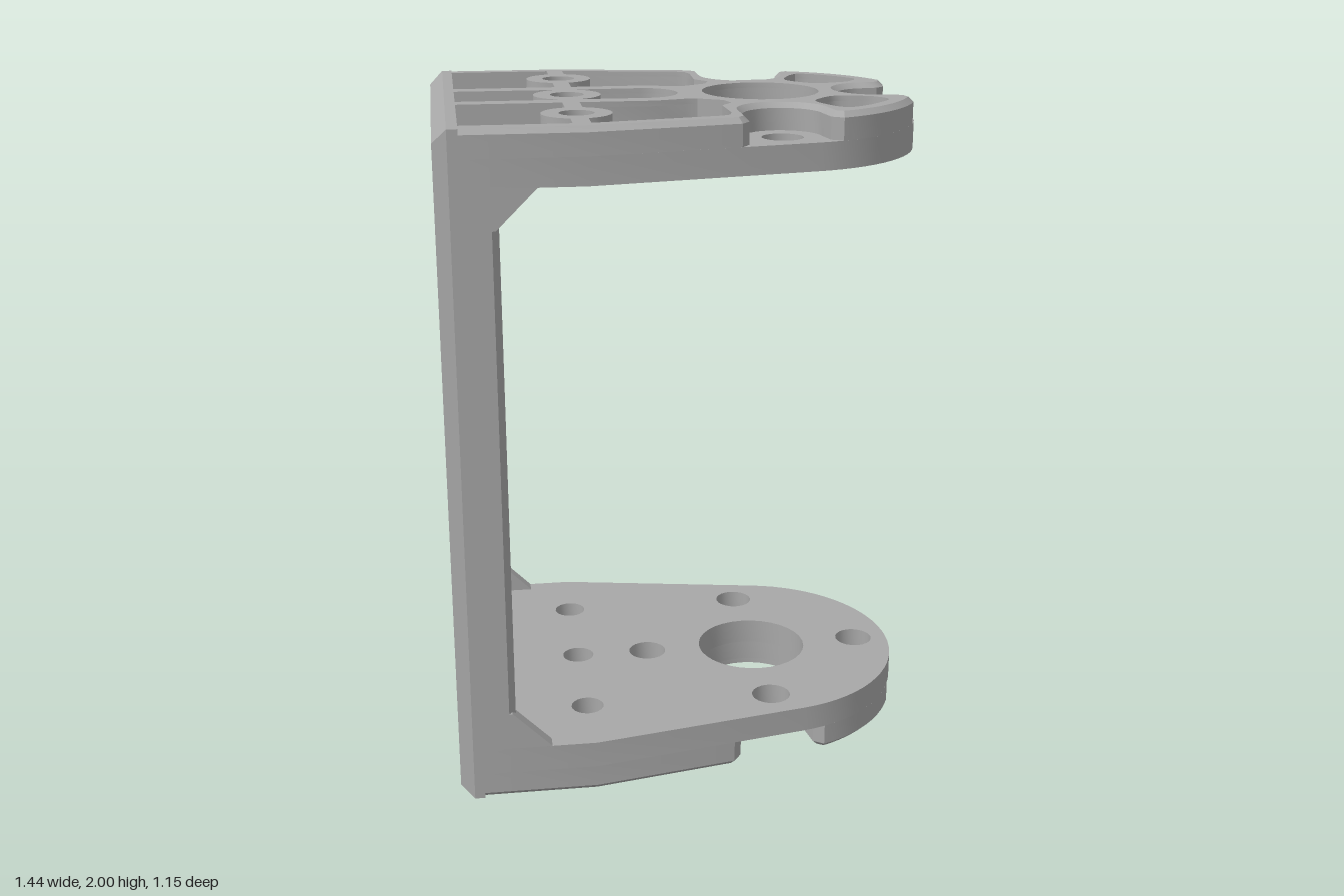
import * as THREE from 'three';
import { toCreasedNormals } from 'three/addons/utils/BufferGeometryUtils.js';

const grey = new THREE.MeshStandardMaterial({ color: 0xa8a8a8 });
grey.name = 'metal grey';

// ---- 2D helpers (points are [a, b] pairs) ----
const arc = (cx, cy, r, from, to, n = 12) =>
  Array.from({ length: n + 1 }, (_, i) => {
    const t = THREE.MathUtils.degToRad(from + ((to - from) * i) / n);
    return [cx + r * Math.cos(t), cy + r * Math.sin(t)];
  });
const circle = (cx, cy, r, n = 20) => arc(cx, cy, r, 0, 360, n).slice(0, -1);
const hexagon = (cx, cy, r, turn = 0) => arc(cx, cy, r, turn, turn + 360, 6).slice(0, -1);
const flipB = (pts) => pts.map(([a, b]) => [a, -b]);
const flipA = (pts) => pts.map(([a, b]) => [-a, b]);
const mirrorHalf = (half) => [...half, ...flipB(half).reverse()];
const vectors = (pts) => pts.map(([a, b]) => new THREE.Vector2(a, b));
const smooth = (pts) =>
  new THREE.CatmullRomCurve3(pts.map(([a, b]) => new THREE.Vector3(a, b, 0)), true)
    .getPoints(30).slice(0, -1).map((p) => [p.x, p.y]);

// Extrudes an outline with holes; inset narrows the far end to form a chamfer
function prism(outline, holes, depth, inset) {
  const shape = new THREE.Shape(vectors(outline));
  shape.holes = holes.map((h) => new THREE.Path(vectors(h)));
  const geo = new THREE.ExtrudeGeometry(shape, { depth, bevelEnabled: false });
  if (inset) {
    const key = (x, y) => `${Math.round(x * 1e4)},${Math.round(y * 1e4)}`;
    const moved = new Map();
    const v = vectors(outline);
    const sign = Math.sign(THREE.ShapeUtils.area(v));
    v.forEach((p, i) => {
      const e1 = p.clone().sub(v[(i + v.length - 1) % v.length]).normalize();
      const e2 = v[(i + 1) % v.length].clone().sub(p).normalize();
      const n = new THREE.Vector2(-e1.y - e2.y, e1.x + e2.x);
      n.multiplyScalar((sign * 2) / Math.max(n.lengthSq(), 1));
      moved.set(key(p.x, p.y), [p.x + n.x * inset[0], p.y + n.y * inset[1]]);
    });
    const pos = geo.attributes.position;
    for (let i = 0; i < pos.count; i++) {
      const m = moved.get(key(pos.getX(i), pos.getY(i)));
      if (m && pos.getZ(i) > depth / 2) pos.setXY(i, m[0], m[1]);
    }
  }
  return toCreasedNormals(geo, 0.5);
}

function add(group, name, geo, x = 0, y = 0, z = 0) {
  const mesh = new THREE.Mesh(geo, grey);
  mesh.name = name;
  mesh.position.set(x, y, z);
  group.add(mesh);
}

// ---- Arm plate, pocketed on its outer face ----
function createArm(name) {
  const arm = new THREE.Group();
  arm.name = name;
  const up = (g) => g.rotateX(-Math.PI / 2);

  const bore = circle(0.26, 0, 0.175, 32);
  const bossHoles = [-0.345, 0, 0.345].map((z) => circle(-0.32, z, 0.05));
  const boltHoles = [[-0.09, 0], [0.26, 0.35], [0.26, -0.35], [0.61, 0]]
    .map(([x, z]) => circle(x, z, 0.06));

  const baseOutline = [...arc(0.26, 0, 0.46, -79.4, 79.4, 32),
    [-0.31, 0.575], [-0.68, 0.575], [-0.68, -0.575], [-0.31, -0.575]];
  add(arm, 'arm floor', up(prism(baseOutline, [bore, ...bossHoles, ...boltHoles], 0.08)), 0, 1.84);

  // Raised rim, notched around the three outer bolt holes
  const half = [
    ...arc(0.61, 0, 0.115, 180, 90, 8), [0.65, 0.12], [0.675, 0.14],
    ...arc(0.26, 0, 0.46, 23, 70, 10), [0.385, 0.41],
    ...arc(0.26, 0.35, 0.115, 0, -180, 16), [0.145, 0.46], [0.12, 0.494],
    [-0.31, 0.575], [-0.68, 0.575],
  ];
  const rimOutline = [...half, ...flipB(half.slice(1)).reverse()];

  const sidePockets = [
    [[-0.65, 0.155], [-0.345, 0.155], ...arc(-0.32, 0.345, 0.1, 255.5, 104.5), [-0.345, 0.52], [-0.65, 0.52]],
    [[-0.295, 0.155], ...arc(-0.32, 0.345, 0.1, -75.5, 75.5), [-0.295, 0.52], [0.07, 0.45], [0.095, 0.435],
      [0.105, 0.4], [0.1, 0.27], [0.135, 0.22], [0.12, 0.17], [0.05, 0.13], [0.015, 0.13], [-0.075, 0.155]],
    smooth([[0.44, 0.35], [0.49, 0.335], [0.58, 0.25], [0.6, 0.21], [0.57, 0.16], [0.52, 0.14],
      [0.46, 0.13], [0.41, 0.17], [0.38, 0.22], [0.4, 0.29]]),
  ];
  const pockets = [
    ...sidePockets, ...sidePockets.map(flipB),
    [[-0.65, -0.1], [-0.345, -0.1], ...arc(-0.32, 0, 0.1, 255.5, 104.5), [-0.65, 0.1]],
    [...arc(-0.32, 0, 0.1, -75.5, 75.5), ...arc(-0.09, 0, 0.1, 90, -90)],
  ];
  const rimHoles = [bore, ...bossHoles, ...pockets];
  add(arm, 'arm rim', up(prism(rimOutline, rimHoles, 0.064)), 0, 1.92);
  add(arm, 'arm rim chamfer', up(prism(rimOutline, rimHoles, 0.016, [0.016, 0.016])), 0, 1.984);

  // Corner gussets joining arm and back plate at both side edges
  const gusset = [[-0.57, 1.725], [-0.56, 1.725], [-0.44, 1.845], [-0.57, 1.845]];
  for (const z of [-0.575, 0.53]) add(arm, 'gusset', prism(gusset, [], 0.045), 0, 0, z);
  return arm;
}

// ---- Back plate with a ribbed inner face; coordinates are [z, y - 1] ----
function createBackPlate() {
  const plate = new THREE.Group();
  plate.name = 'back plate';
  const inward = (g) => g.rotateY(Math.PI / 2);
  const outward = (g) => g.rotateY(-Math.PI / 2);
  const rect = (w, h) => [[-w, -h], [w, -h], [w, h], [-w, h]];
  const fourWay = (list) => list.flatMap((p) => [p, flipA(p), flipB(p), flipA(flipB(p))]);
  const twoWay = (list) => list.flatMap((p) => [p, flipB(p)]);

  const bore = circle(0, 0, 0.23, 32);
  const bossHoles = fourWay([circle(0.33, 0.33, 0.058), circle(0.46, 0.465, 0.048)]);
  const boltHoles = [
    ...fourWay([circle(0.35, 0.7, 0.058), circle(0.175, 0.52, 0.058)]),
    ...twoWay([circle(0, 0.7, 0.058), circle(0, 0.35, 0.058)]),
    circle(0.35, 0, 0.058), circle(-0.35, 0, 0.058),
  ];
  const pockets = [
    ...fourWay([
      hexagon(0.35, 0.7, 0.12), hexagon(0.175, 0.52, 0.12),
      [[0.12, 0.83], [0.175, 0.73], [0.23, 0.83]],
      [[0.51, 0.37], [0.47, 0.36], [0.45, 0.25], [0.38, 0.2], [0.51, 0.12]],
      [[0.28, 0.2], [0.33, 0.19], [0.26, 0.13]],
      [[0.52, 0.64], [0.49, 0.55], [0.52, 0.54]],
      [[0.3, 0.57], [0.39, 0.57], [0.4, 0.51], [0.37, 0.45], [0.31, 0.45], [0.33, 0.51]],
    ]),
    ...twoWay([
      hexagon(0, 0.7, 0.12), hexagon(0, 0.35, 0.12),
      [[-0.06, 0.47], [0.06, 0.47], [0.03, 0.525], [0.06, 0.58], [-0.06, 0.58], [-0.03, 0.525]],
    ]),
    hexagon(0.35, 0, 0.115, 30), hexagon(-0.35, 0, 0.115, 30),
  ];

  const wallHoles = [bore, ...bossHoles, ...boltHoles];
  const ribHoles = [bore, ...bossHoles, ...pockets];
  add(plate, 'wall', inward(prism(rect(0.575, 1), wallHoles, 0.03)), -0.68, 1);
  add(plate, 'wall chamfer', outward(prism(rect(0.575, 1), wallHoles, 0.04, [0.02, 0.04])), -0.68, 1);
  add(plate, 'ribs', inward(prism(rect(0.575, 0.845), ribHoles, 0.08)), -0.65, 1);
  add(plate, 'rib chamfer', inward(prism(rect(0.575, 0.845), ribHoles, 0.02, [0.025, 0])), -0.57, 1);
  return plate;
}

export function createModel() {
  const model = new THREE.Group();
  model.name = 'U bracket';
  const lower = createArm('lower arm');
  lower.rotation.x = Math.PI;
  lower.position.y = 2;
  model.add(createBackPlate(), createArm('upper arm'), lower);
  return model;
}
